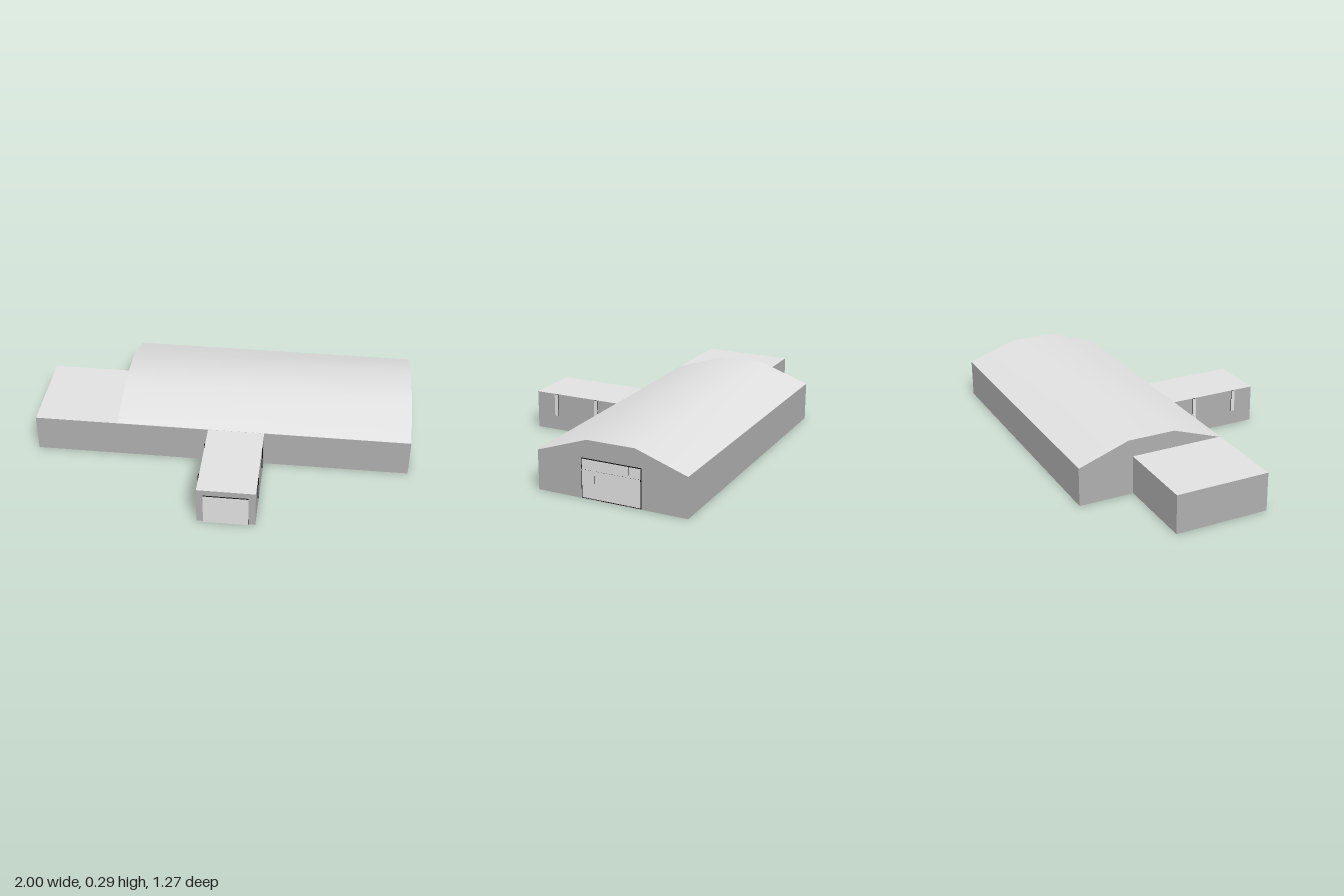
import * as THREE from 'three';

const mat = (name, color) => {
  const m = new THREE.MeshStandardMaterial({ color });
  m.name = name;
  return m;
};

export function createModel() {
  const wall = mat('wall grey', 0xafafaf);
  const light = mat('light grey', 0xe1e1e1);
  const brown = mat('floor brown', 0x92683a);
  const dark = mat('frame black', 0x151515);
  const model = new THREE.Group();

  const add = (name, geometry, material) => {
    const mesh = new THREE.Mesh(geometry, material);
    mesh.name = name;
    model.add(mesh);
    return mesh;
  };
  // box given by its minimum and maximum corners
  const box = (name, [x0, y0, z0], [x1, y1, z1], material) => add(name,
    new THREE.BoxGeometry(x1 - x0, y1 - y0, z1 - z0)
      .translate((x0 + x1) / 2, (y0 + y1) / 2, (z0 + z1) / 2), material);
  // dark box materials with one light face (0 +x, 1 -x, 4 +z)
  const lightFace = (face) => Array.from({ length: 6 }, (_, i) => (i === face ? light : dark));

  // main hall: gabled section (z, y) extruded along x, grey ends and light floor
  const left = -0.555, right = 0.996, front = 0.143, back = -0.635, eave = 0.201;
  const ridge = [[-0.12, 0.291], [-0.37, 0.291]];
  const section = new THREE.Shape(
    [[front - 0.002, 0], [front - 0.002, eave], ...ridge, [back + 0.002, eave], [back + 0.002, 0]]
      .map(([z, y]) => new THREE.Vector2(-z, y)));
  add('hallBody', new THREE.ExtrudeGeometry(section, { depth: right - left, bevelEnabled: false })
    .rotateY(Math.PI / 2).translate(left, 0, 0), [wall, light]);

  // long side walls of the hall
  box('hallFrontWall', [left, 0, front - 0.002], [right, eave, front], wall);
  box('hallBackWall', [left, 0, back], [right, eave, back + 0.002], wall);

  // roof skin, shaded smoothly over its folds
  const points = [], index = [];
  [[front, eave], ...ridge, [back, eave]].forEach(([z, y], i) => {
    points.push(left, y + 0.002, z, right, y + 0.002, z);
    const a = i * 2;
    if (i < 3) index.push(a, a + 1, a + 3, a, a + 3, a + 2);
  });
  const roof = new THREE.BufferGeometry();
  roof.setAttribute('position', new THREE.Float32BufferAttribute(points, 3));
  roof.setIndex(index);
  roof.computeVertexNormals();
  add('hallRoof', roof, light);

  // flat-roofed side annex and entrance wing
  const wing = [wall, wall, light, brown, wall, wall];
  box('annex', [-1, 0, -0.347], [left, 0.202, front], wing);
  box('entranceWing', [-0.07, 0, front], [0.228, 0.202, 0.63], wing);

  // entrance door with dark edges
  box('entranceDoor', [-0.036, 0, 0.63], [0.193, 0.17, 0.637], lightFace(4));

  // slit windows on both sides of the entrance wing
  for (const z of [0.268, 0.512]) {
    box('slitWindow', [0.226, 0.08, z - 0.01], [0.233, 0.2, z + 0.01], lightFace(0));
    box('slitWindow', [-0.075, 0.08, z - 0.01], [-0.068, 0.2, z + 0.01], lightFace(1));
  }

  // hall gate: dark surround, light leaf and raised bars with dark edges
  box('gateFrame', [right - 0.004, 0.002, -0.402], [right + 0.001, 0.201, -0.091], dark);
  box('gateLeaf', [right, 0.006, -0.398], [0.9985, 0.197, -0.095], lightFace(0));
  for (const z of [-0.155, -0.335]) {
    box('gatePost', [0.9985, 0.006, z - 0.005], [1, 0.197, z + 0.005], lightFace(0));
  }
  box('gateRail', [0.9985, 0.135, -0.398], [0.9998, 0.145, -0.095], lightFace(0));

  return model;
}
